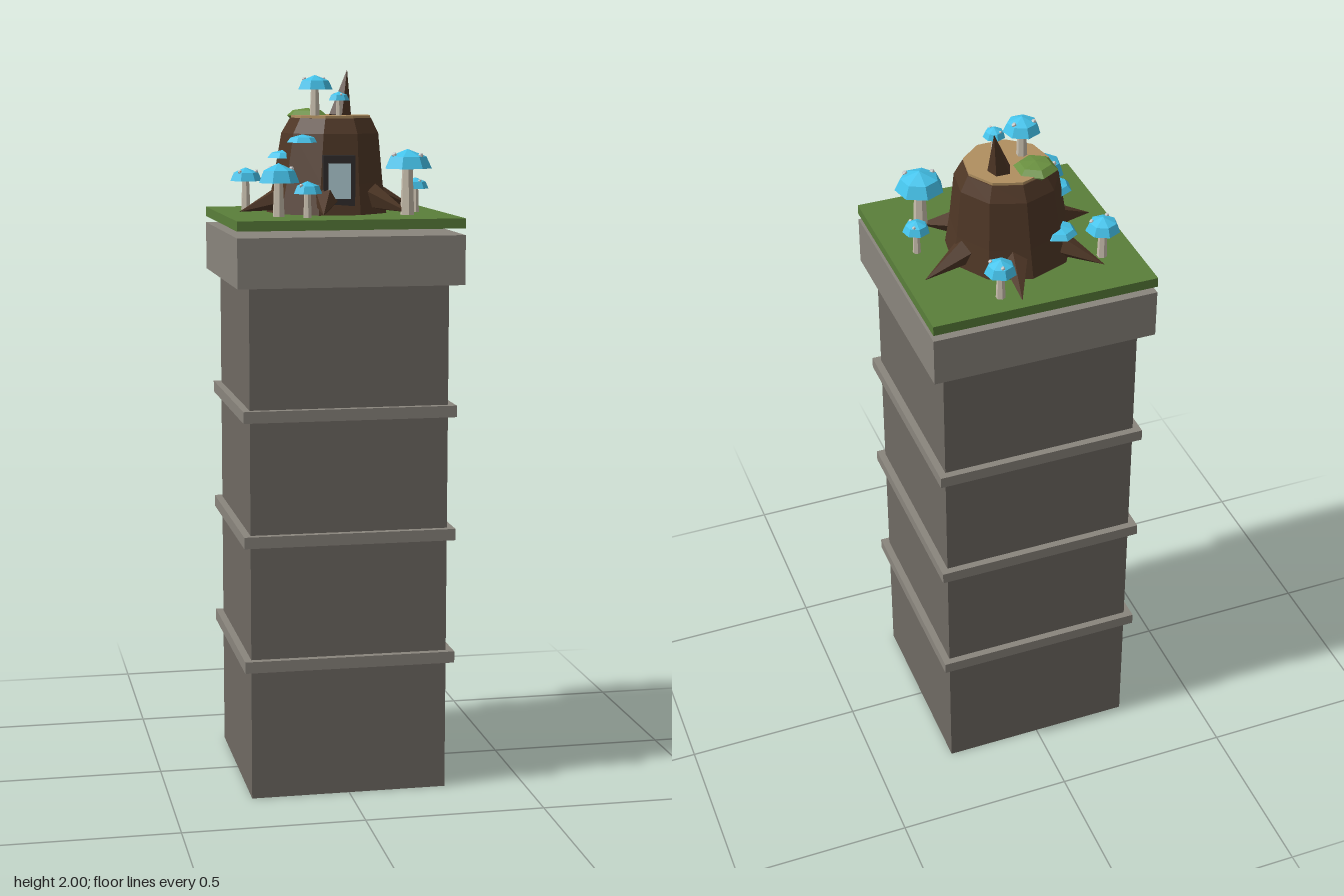
import * as THREE from 'three';

const mat = (color) => new THREE.MeshStandardMaterial({ color, flatShading: true });
const M = {
  stone: mat(0x6f6a63), trim: mat(0x8a857d), grass: mat(0x5a7f3a), bark: mat(0x4f3726),
  wood: mat(0xb08f60), moss: mat(0x6a9040), cap: mat(0x45c4ec), stem: mat(0xc9bfae),
  spot: mat(0xd0d0cc), frame: mat(0x35302f), pane: mat(0xbcdbe2),
};
const RAD = Math.PI / 180;
const GROUND = 1.605, TOP = 1.867;

function add(parent, name, geometry, material, x = 0, y = 0, z = 0) {
  const mesh = new THREE.Mesh(geometry, material);
  mesh.name = name;
  mesh.position.set(x, y, z);
  parent.add(mesh);
  return mesh;
}

// Square slab between two heights
function slab(parent, name, half, y0, y1, material) {
  add(parent, name, new THREE.BoxGeometry(half * 2, y1 - y0, half * 2), material, 0, (y0 + y1) / 2, 0);
}

function lathe(points, sides, start = 0) {
  return new THREE.LatheGeometry(points.map(([r, y]) => new THREE.Vector2(r, y)), sides, start);
}

// Five-sided cone running from a base point to a tip
function thorn(parent, name, base, tip, radius) {
  const a = new THREE.Vector3(...base), b = new THREE.Vector3(...tip);
  const dir = b.clone().sub(a);
  const mesh = add(parent, name, new THREE.ConeGeometry(radius, dir.length(), 5), M.bark);
  mesh.position.copy(a).add(b).multiplyScalar(0.5);
  mesh.quaternion.setFromUnitVectors(new THREE.Vector3(0, 1, 0), dir.normalize());
}

// Faceted seven-sided cap, origin at its rim
function capGeometry(r, h) {
  return lathe([[0, 0.12 * h], [r, 0], [0.77 * r, 0.62 * h], [0, h]], 7, Math.PI);
}

// Standing mushroom with two spots given as [dx, dz]
function mushroom(parent, x, z, r, foot, rim, top, spots) {
  const g = new THREE.Group();
  g.name = 'mushroom';
  g.position.set(x, foot, z);
  parent.add(g);
  const stemH = rim - foot + 0.01, h = top - rim;
  add(g, 'stem', new THREE.CylinderGeometry(r * 0.22, r * 0.3, stemH, 6), M.stem, 0, stemH / 2, 0);
  add(g, 'cap', capGeometry(r, h), M.cap, 0, rim - foot, 0);
  for (const [dx, dz] of spots) {
    const d = Math.hypot(dx, dz) / r;
    const y = d < 0.74 ? h * (1 - 0.5 * d) : h * (0.62 - (d - 0.74) * 2.2);
    add(g, 'spot', new THREE.IcosahedronGeometry(Math.min(0.008, r * 0.14), 0), M.spot, dx, rim - foot + y, dz);
  }
}

export function createModel() {
  const model = new THREE.Group();
  model.name = 'stumpTower';

  // Stone column with bands and a heavy cap; the turf floats just above
  slab(model, 'column', 0.275, 0, 1.43, M.stone);
  for (const y of [0.382, 0.732, 1.077]) slab(model, 'band', 0.295, y - 0.016, y + 0.016, M.trim);
  slab(model, 'capstone', 0.311, 1.425, 1.56, M.trim);
  slab(model, 'turf', 0.311, 1.578, GROUND, M.grass);

  // Nine-sided stump leaning slightly towards the back
  const house = new THREE.Group();
  house.name = 'stumpHouse';
  model.add(house);
  const trunk = lathe([[0, GROUND], [0.172, GROUND], [0.157, 1.69], [0.139, 1.825], [0.116, TOP], [0, TOP]], 9, 21 * RAD);
  const p = trunk.attributes.position;
  for (let i = 0; i < p.count; i++) {
    const t = (p.getY(i) - GROUND) / (TOP - GROUND);
    p.setX(i, p.getX(i) - 0.003 + 0.013 * t);
    p.setZ(i, p.getZ(i) - 0.026 - 0.014 * t);
  }
  trunk.computeVertexNormals();
  add(house, 'trunk', trunk, M.bark);
  add(house, 'cutWood', lathe([[0.113, TOP - 0.01], [0.113, TOP + 0.007], [0, TOP + 0.007]], 9, 21 * RAD), M.wood, 0.01, 0, -0.04);
  thorn(house, 'splinter', [0.04, TOP, -0.074], [0.068, 2, -0.106], 0.034);

  // Moss patch on the cut
  const moss = add(house, 'moss', new THREE.SphereGeometry(0.06, 6, 4), M.moss, -0.05, TOP + 0.005, -0.093);
  moss.scale.y = 0.35;
  moss.rotation.y = 30 * RAD;

  // Roots
  const tips = [[0.061, -0.291], [0.264, -0.113], [0.19, 0.15], [-0.061, 0.218], [-0.264, 0.039], [-0.202, -0.212]];
  for (const [x, z] of tips) {
    const k = 0.125 / Math.hypot(x, z + 0.026);
    thorn(house, 'root', [x * k, 1.655, (z + 0.026) * k - 0.026], [x, 1.612, z], 0.042);
  }

  // Door
  add(house, 'doorFrame', new THREE.BoxGeometry(0.088, 0.14, 0.045), M.frame, 0, 1.698, 0.107);
  add(house, 'doorPane', new THREE.BoxGeometry(0.062, 0.096, 0.01), M.pane, 0, 1.698, 0.128);

  // Shelf fungi on the bark
  for (const [x, y, z, r] of [[-0.09, 1.802, 0.063, 0.046], [-0.128, 1.757, -0.027, 0.05], [-0.102, 1.688, -0.133, 0.05]]) {
    const shelf = add(house, 'shelfFungus', capGeometry(r, 0.022), M.cap, x, y, z);
    shelf.rotation.y = Math.atan2(z + 0.03, -x);
  }

  // Mushrooms on the turf: x, z, radius, rim height, top height, spots
  const turfMushrooms = [
    [0.104, -0.246, 0.043, 1.682, 1.72, [[0.003, -0.025], [0.021, 0.018]]],
    [-0.216, -0.16, 0.047, 1.687, 1.725, [[0.029, 0.009], [-0.02, 0.023]]],
    [-0.173, 0.152, 0.057, 1.697, 1.75, [[-0.018, -0.028], [0.035, 0.003]]],
    [-0.104, 0.211, 0.04, 1.67, 1.704, [[-0.004, -0.023], [-0.02, 0.018]]],
    [0.189, 0.136, 0.067, 1.732, 1.785, [[-0.04, 0.012], [0.03, 0.031]]],
    [0.236, 0.032, 0.037, 1.671, 1.702, [[0.012, -0.018], [0.008, 0.021]]],
  ];
  for (const [x, z, r, rim, top, spots] of turfMushrooms) mushroom(model, x, z, r, GROUND, rim, top, spots);

  // Mushrooms on the stump top
  mushroom(house, -0.041, -0.02, 0.05, TOP, 1.945, 1.985, [[-0.027, -0.014], [0.027, -0.014]]);
  mushroom(house, 0.018, 0.026, 0.03, TOP, 1.915, 1.94, [[-0.012, -0.015], [0.003, 0.02]]);

  return model;
}
